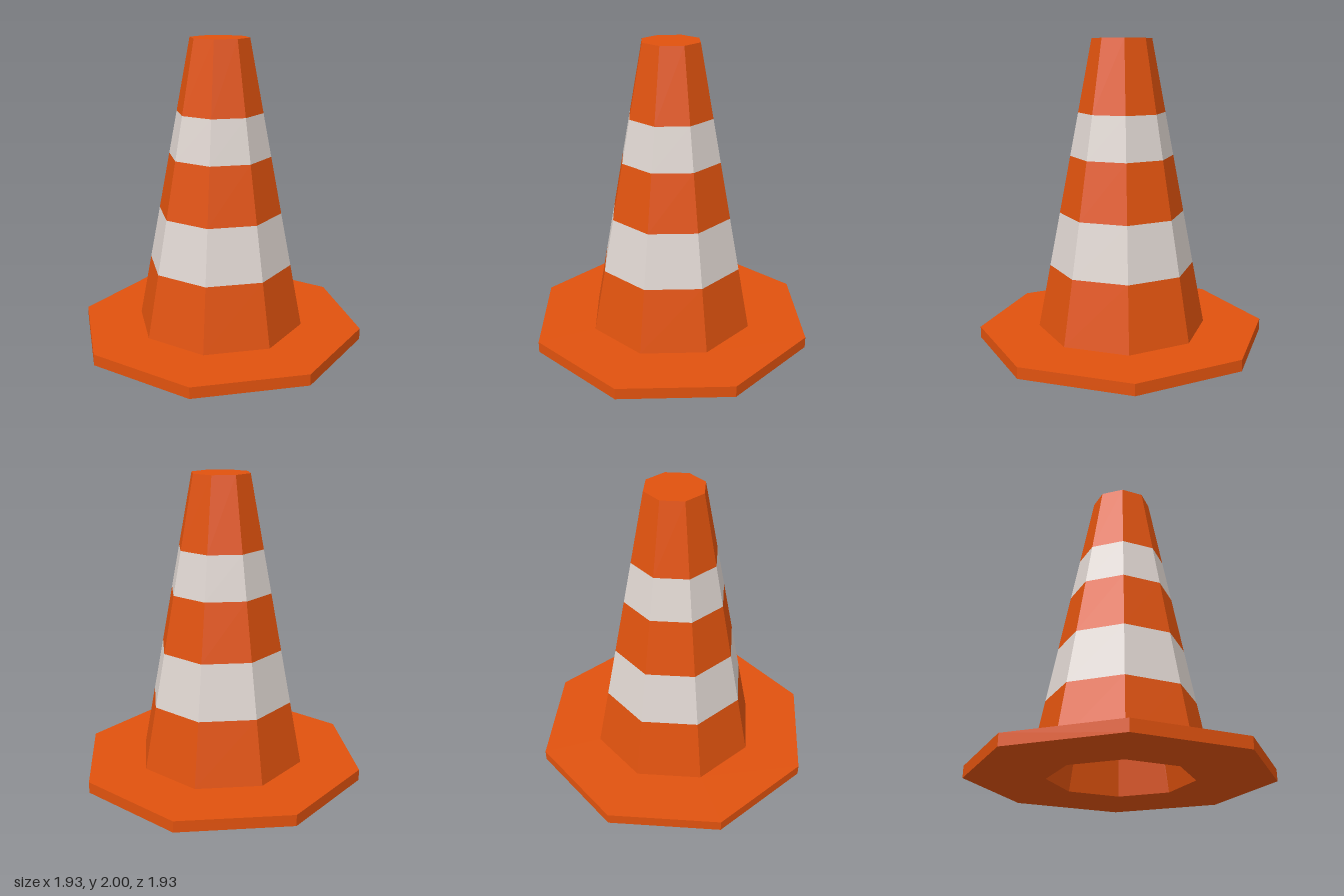
import * as THREE from 'three';

const SIDES = 8;
const BASE_TOP = 0.075;

// Outer radius of the tapering body at height y
const radiusAt = (y) => THREE.MathUtils.mapLinear(y, BASE_TOP, 2, 0.565, 0.195);

export function createModel() {
  const group = new THREE.Group();
  const orange = new THREE.MeshStandardMaterial({ color: 0xe0520e, flatShading: true });
  orange.name = 'orange plastic';
  const white = new THREE.MeshStandardMaterial({ color: 0xded5d0, flatShading: true });
  white.name = 'off-white band';

  function add(name, geometry, material, y = 0) {
    const mesh = new THREE.Mesh(geometry, material);
    mesh.name = name;
    mesh.position.y = y;
    group.add(mesh);
    return mesh;
  }

  // Eight-sided profile of revolution from [radius, y] pairs
  const lathe = (points) =>
    new THREE.LatheGeometry(points.map(([r, y]) => new THREE.Vector2(r, y)), SIDES);

  // Base plate: underside ring around the opening, rim and top ring
  add('basePlate', lathe([[0.46, 0], [0.963, 0], [0.963, BASE_TOP], [0.56, BASE_TOP]]), orange);

  // Body stacked from alternating orange and white bands
  const levels = [BASE_TOP, 0.5, 0.86, 1.24, 1.525, 2];
  for (let i = 0; i < levels.length - 1; i++) {
    const [low, high] = [levels[i], levels[i + 1]];
    const band = new THREE.CylinderGeometry(radiusAt(high), radiusAt(low), high - low, SIDES, 1, true);
    add(i % 2 ? 'whiteBand' : 'orangeBand', band, i % 2 ? white : orange, (low + high) / 2);
  }

  // Flat closed tip
  const tip = add('tip', new THREE.CircleGeometry(radiusAt(2), SIDES), orange, 2);
  tip.rotation.x = -Math.PI / 2;

  // Hollow inside, facing inward and closed just below the tip
  add('innerWall', lathe([[0, 1.9], [0.1, 1.9], [0.46, 0]]), orange);

  return group;
}
